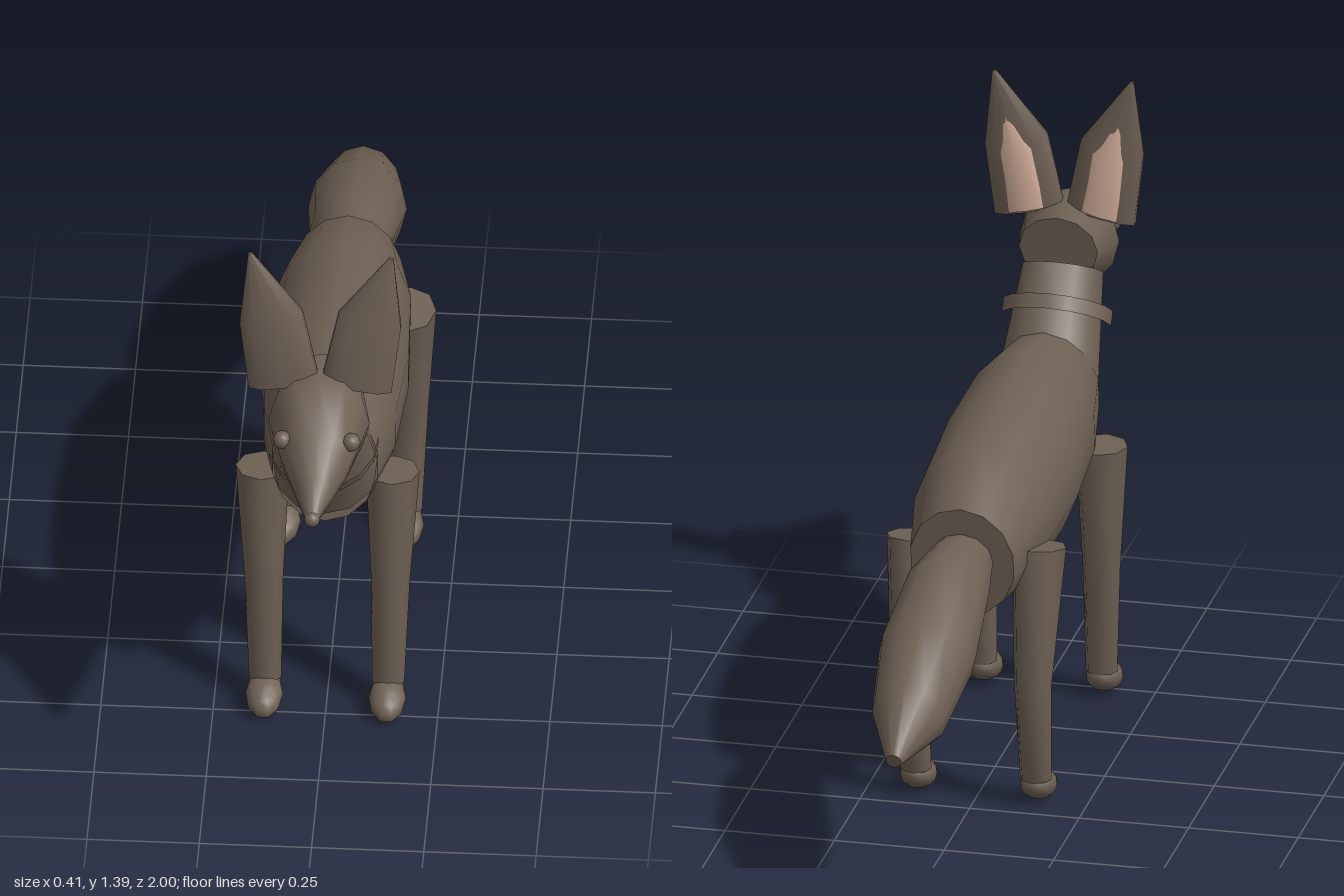
import * as THREE from 'three';

const fur = new THREE.MeshStandardMaterial({ color: 0x6e6054 });
fur.name = 'brown fur';
const skin = new THREE.MeshStandardMaterial({ color: 0xd6b09d });
skin.name = 'pale ear skin';

// Loft through rings [zA, yA, zB, yB, halfWidth, xOffset]; A and B are opposite
// points of each ring in the side plane (A = upper or rear). Ends are capped.
function loft(name, rings, sides, material = fur, x = 0) {
  const pos = [], index = [];
  const addRing = ([zA, yA, zB, yB, w, dx = 0]) => {
    const start = pos.length / 3;
    for (let j = 0; j < sides; j++) {
      const t = (j / sides) * Math.PI * 2, c = Math.cos(t) / 2;
      pos.push(x + dx + w * Math.sin(t), (yA + yB) / 2 + c * (yA - yB), (zA + zB) / 2 + c * (zA - zB));
    }
    return start;
  };
  const starts = rings.map(addRing);
  for (let i = 0; i < starts.length - 1; i++) {
    for (let j = 0; j < sides; j++) {
      const k = (j + 1) % sides;
      const a = starts[i] + j, b = starts[i] + k, c = starts[i + 1] + j, d = starts[i + 1] + k;
      index.push(a, b, c, b, d, c);
    }
  }
  // separate cap vertices keep the end edges sharp
  const first = addRing(rings[0]), last = addRing(rings[rings.length - 1]);
  for (let j = 1; j < sides - 1; j++) {
    index.push(first, first + j + 1, first + j, last, last + j, last + j + 1);
  }
  const geo = new THREE.BufferGeometry();
  geo.setAttribute('position', new THREE.Float32BufferAttribute(pos, 3));
  geo.setIndex(index);
  geo.computeVertexNormals();
  const mesh = new THREE.Mesh(geo, material);
  mesh.name = name;
  return mesh;
}

function ball(name, r, x, y, z) {
  const mesh = new THREE.Mesh(new THREE.SphereGeometry(r, 10, 8), fur);
  mesh.name = name;
  mesh.position.set(x, y, z);
  return mesh;
}

export function createModel() {
  const g = new THREE.Group();
  g.name = 'fox';

  // torso, front to back
  g.add(loft('body', [
    [0.49, 0.855, 0.535, 0.565, 0.12],
    [0.32, 0.88, 0.37, 0.49, 0.15],
    [0.09, 0.86, 0.12, 0.47, 0.165],
    [-0.16, 0.835, -0.11, 0.47, 0.155],
    [-0.34, 0.76, -0.305, 0.49, 0.12],
  ], 14));

  // tail, root to tip
  g.add(loft('tail', [
    [-0.3, 0.695, -0.28, 0.58, 0.065],
    [-0.5, 0.71, -0.43, 0.525, 0.095],
    [-0.715, 0.64, -0.61, 0.445, 0.11],
    [-0.875, 0.555, -0.805, 0.38, 0.085],
    [-1.0, 0.435, -0.985, 0.4, 0.018],
  ], 12));

  // neck, head end to chest
  g.add(loft('neck', [
    [0.58, 0.985, 0.74, 0.89, 0.093],
    [0.38, 0.745, 0.59, 0.625, 0.12],
  ], 12));

  // collar: open band around the neck
  const collar = new THREE.Mesh(new THREE.CylinderGeometry(0.125, 0.125, 0.034, 16, 1, true), fur);
  collar.name = 'collar';
  collar.position.set(0, 0.85, 0.607);
  collar.rotation.x = 0.61;
  g.add(collar);

  // head, nose to back of skull
  g.add(loft('head', [
    [0.995, 0.91, 0.985, 0.888, 0.012],
    [0.92, 0.966, 0.92, 0.875, 0.04],
    [0.83, 1.03, 0.83, 0.868, 0.078],
    [0.73, 1.102, 0.73, 0.868, 0.113],
    [0.605, 1.08, 0.63, 0.92, 0.09],
  ], 12));
  g.add(ball('nose', 0.018, 0, 0.902, 0.982));

  for (const s of [1, -1]) {
    const side = s > 0 ? 'left' : 'right';

    g.add(ball(side + 'Eye', 0.021, s * 0.077, 0.995, 0.815));

    // ear, tip to base, leaning outwards
    const ear = new THREE.Group();
    ear.name = side + 'Ear';
    ear.add(loft('earShell', [
      [-0.027, 0.34, -0.017, 0.34, 0.005],
      [-0.04, 0.17, 0.022, 0.17, 0.075, -s * 0.01],
      [-0.033, 0, 0.033, 0, 0.083],
    ], 10));
    ear.add(loft('earLining', [
      [-0.034, 0.24, -0.02, 0.24, 0.008, -s * 0.005],
      [-0.045, 0.15, 0, 0.15, 0.045, -s * 0.01],
      [-0.037, 0.005, 0, 0.005, 0.05],
    ], 10, skin));
    ear.position.set(s * 0.082, 1.065, 0.687);
    ear.rotation.z = -s * 0.223;
    g.add(ear);

    // legs, top to ankle
    g.add(loft(side + 'FrontLeg', [
      [0.36, 0.622, 0.475, 0.627, 0.06, s * 0.008],
      [0.397, 0.33, 0.475, 0.33, 0.043, s * 0.004],
      [0.425, 0.065, 0.482, 0.07, 0.036],
    ], 8, fur, s * 0.137));
    g.add(loft(side + 'HindLeg', [
      [-0.25, 0.635, -0.115, 0.612, 0.062, s * 0.006],
      [-0.275, 0.32, -0.195, 0.31, 0.043, s * 0.004],
      [-0.22, 0.065, -0.16, 0.07, 0.036],
    ], 8, fur, s * 0.137));

    // paws
    for (const [part, z] of [['FrontPaw', 0.485], ['HindPaw', -0.16]]) {
      const paw = ball(side + part, 1, s * 0.137, 0.044, z);
      paw.scale.set(0.042, 0.036, 0.065);
      paw.rotation.x = 0.3;
      g.add(paw);
    }
  }
  return g;
}
